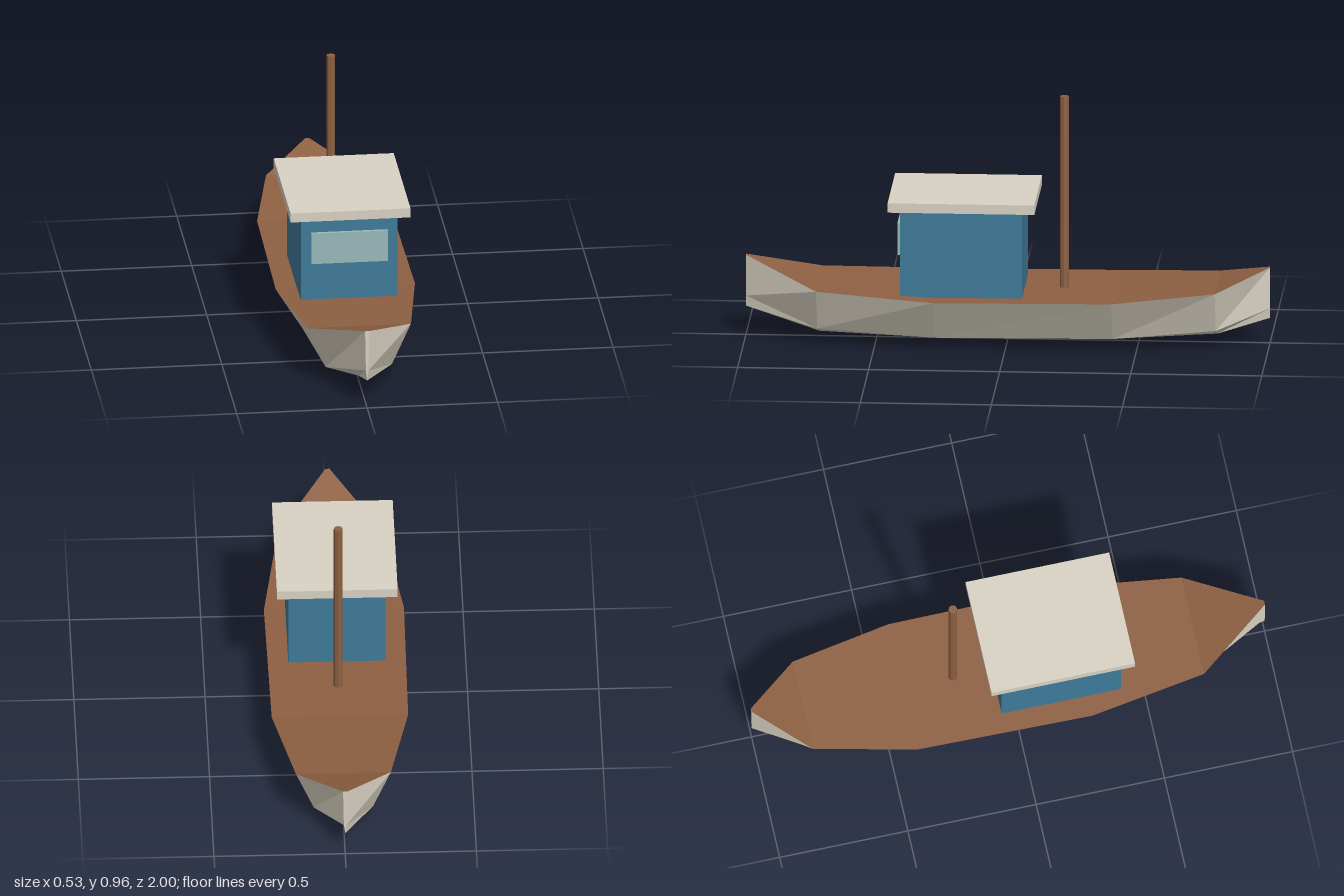
import * as THREE from 'three';

const material = (name, color, extra = {}) => {
  const m = new THREE.MeshStandardMaterial({ color, flatShading: true, ...extra });
  m.name = name;
  return m;
};

// Hull stations from bow to stern: z, sheer half width, sheer y, chine half width, chine y, keel y
const STATIONS = [
  [1.0, 0.008, 0.318, 0.005, 0.156, 0.115],
  [0.72, 0.2, 0.226, 0.127, 0.063, 0.021],
  [0.27, 0.267, 0.206, 0.166, 0.044, 0.002],
  [-0.41, 0.26, 0.211, 0.162, 0.049, 0.008],
  [-0.8, 0.181, 0.236, 0.113, 0.074, 0.035],
  [-1.0, 0.008, 0.3, 0.005, 0.139, 0.1],
];

// Cross-section: left sheer, left chine, keel, right chine, right sheer
const rings = STATIONS.map(([z, sw, sy, cw, cy, ky]) => [
  [sw, sy, z], [cw, cy, z], [0, ky, z], [-cw, cy, z], [-sw, sy, z],
]);

// Joins chosen strips of neighbouring rings, with optional end caps
function loft(strips, caps) {
  const pos = [];
  const tri = (...corners) => corners.forEach((c) => pos.push(...c));
  for (let i = 0; i < rings.length - 1; i++) {
    const f = rings[i], b = rings[i + 1];
    for (const k of strips) {
      const n = (k + 1) % 5;
      tri(f[k], f[n], b[k]);
      tri(f[n], b[n], b[k]);
    }
  }
  if (caps) {
    const bow = rings[0], stern = rings[rings.length - 1];
    for (let k = 1; k < 4; k++) {
      tri(bow[0], bow[k + 1], bow[k]);
      tri(stern[0], stern[k], stern[k + 1]);
    }
  }
  const g = new THREE.BufferGeometry();
  g.setAttribute('position', new THREE.Float32BufferAttribute(pos, 3));
  g.computeVertexNormals();
  return g;
}

export function createModel() {
  const boat = new THREE.Group();
  boat.name = 'boat';
  const cream = material('cream paint', 0xd8d2c2);
  const wood = material('brown wood', 0x8e6042);
  const blue = material('blue paint', 0x3e7a9a);
  const glass = material('pale glass', 0x98b9b8);

  const add = (name, geometry, mat, x = 0, y = 0, z = 0) => {
    const mesh = new THREE.Mesh(geometry, mat);
    mesh.name = name;
    mesh.position.set(x, y, z);
    boat.add(mesh);
  };
  // Box given by its width and its y and z limits
  const box = (name, mat, w, y0, y1, z0, z1) =>
    add(name, new THREE.BoxGeometry(w, y1 - y0, z1 - z0), mat, 0, (y0 + y1) / 2, (z0 + z1) / 2);

  // Hull and deck share the same cross-sections
  add('hull', loft([0, 1, 2, 3], true), cream);
  add('deck', loft([4], false), wood);

  // Wheelhouse
  box('cabin', blue, 0.37, 0.2, 0.55, -0.065, 0.4);
  box('roof', cream, 0.46, 0.55, 0.587, -0.115, 0.445);
  box('window', glass, 0.293, 0.362, 0.487, 0.398, 0.413);

  // Mast behind the cabin
  add('mast', new THREE.CylinderGeometry(0.017, 0.017, 0.76, 8), wood, 0, 0.58, -0.215);

  return boat;
}
